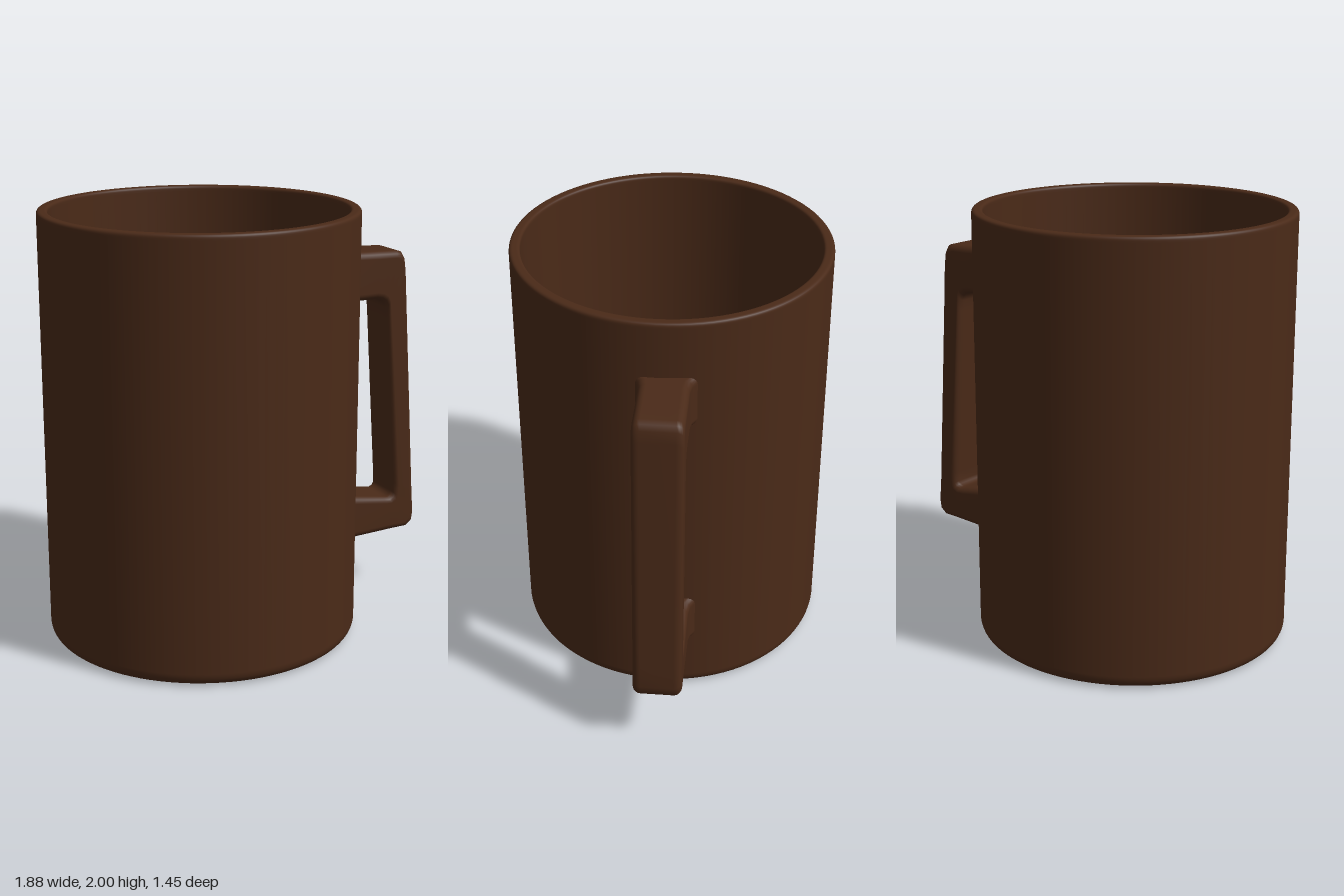
import * as THREE from 'three';

const material = new THREE.MeshStandardMaterial({ color: 0x4a2a18, roughness: 0.7 });

// Hollow cup: base, outer wall, rounded rim, inner wall and floor in one lathe profile
function createCup() {
  const R = 0.725, r = 0.675, floor = 0.1;
  const p = new THREE.Path();
  p.moveTo(0, 0);
  p.lineTo(R - 0.06, 0);
  p.lineTo(R - 0.05, 0);
  p.quadraticCurveTo(R - 0.005, 0.005, R, 0.05);
  p.lineTo(R, 0.06);
  p.lineTo(R, 1.975);
  p.lineTo(R, 1.982);
  p.quadraticCurveTo(R, 2, R - 0.018, 2);
  p.lineTo(r + 0.016, 2);
  p.quadraticCurveTo(r, 2, r, 1.984);
  p.lineTo(r, 1.975);
  p.lineTo(r, floor + 0.06);
  p.lineTo(r, floor + 0.05);
  p.quadraticCurveTo(r, floor, r - 0.05, floor);
  p.lineTo(r - 0.06, floor);
  p.lineTo(0, floor);
  const cup = new THREE.Mesh(new THREE.LatheGeometry(p.getPoints(6), 96), material);
  cup.name = 'cup';
  cup.position.x = -0.215;
  return cup;
}

// Rounded rectangle loop, from the first axis towards the second
function roundedLoop(a, b, radius, steps = 5) {
  const loop = [];
  [[1, 1], [-1, 1], [-1, -1], [1, -1]].forEach(([sx, sy], q) => {
    for (let i = 0; i <= steps; i++) {
      const t = (q + i / steps) * Math.PI / 2;
      loop.push([sx * (a - radius) + radius * Math.cos(t), sy * (b - radius) + radius * Math.sin(t)]);
    }
  });
  return loop;
}

// Handle: rounded sections spanning an outer and an inner edge, flared at the cup
function createHandle() {
  // outer x, outer y, inner x, inner y, half width
  const stations = [
    [0.465, 1.742, 0.465, 1.498, 0.165],
    [0.49, 1.741, 0.49, 1.499, 0.135],
    [0.52, 1.74, 0.52, 1.5, 0.117],
    [0.56, 1.738, 0.56, 1.5, 0.11],
    [0.7, 1.732, 0.69, 1.5, 0.11],
    [0.8, 1.728, 0.715, 1.495, 0.11],
    [0.828, 1.72, 0.738, 1.48, 0.11],
    [0.842, 1.695, 0.75, 1.455, 0.11],
    [0.85, 1.64, 0.755, 1.4, 0.11],
    [0.93, 0.5, 0.809, 0.56, 0.11],
    [0.938, 0.38, 0.812, 0.51, 0.11],
    [0.93, 0.335, 0.805, 0.495, 0.11],
    [0.9, 0.312, 0.785, 0.485, 0.11],
    [0.82, 0.31, 0.755, 0.49, 0.11],
    [0.56, 0.3, 0.56, 0.523, 0.11],
    [0.52, 0.298, 0.52, 0.53, 0.117],
    [0.49, 0.297, 0.49, 0.535, 0.135],
    [0.465, 0.295, 0.465, 0.54, 0.165],
  ];
  const positions = [], index = [];
  let n = 0;
  stations.forEach(([ox, oy, ix, iy, w], s) => {
    const half = Math.hypot(ox - ix, oy - iy) / 2;
    const loop = roundedLoop(half, w, 0.035);
    n = loop.length;
    loop.forEach(([u, v], j) => {
      const t = (u / half + 1) / 2;
      positions.push(ix + (ox - ix) * t, iy + (oy - iy) * t, v - 0.035);
      if (s === stations.length - 1) return;
      const a = s * n + j, b = s * n + (j + 1) % n;
      index.push(a, b, a + n, b, b + n, a + n);
    });
  });
  const geometry = new THREE.BufferGeometry();
  geometry.setAttribute('position', new THREE.Float32BufferAttribute(positions, 3));
  geometry.setIndex(index);
  geometry.computeVertexNormals();
  const handle = new THREE.Mesh(geometry, material);
  handle.name = 'handle';
  return handle;
}

export function createModel() {
  const mug = new THREE.Group();
  mug.name = 'mug';
  mug.add(createCup(), createHandle());
  return mug;
}
